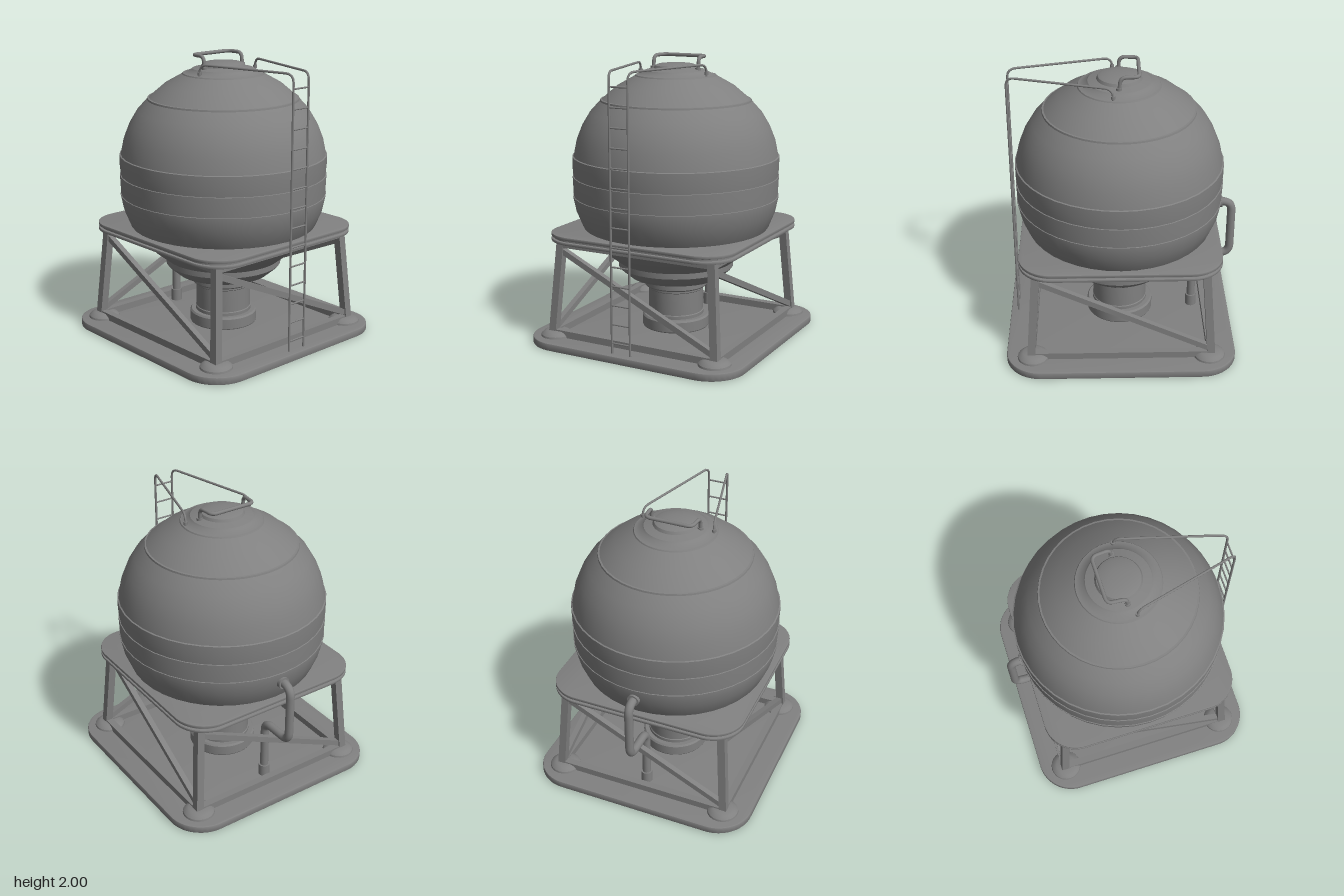
import * as THREE from 'three';
import { toCreasedNormals } from 'three/addons/utils/BufferGeometryUtils.js';

const steel = new THREE.MeshStandardMaterial({ color: 0x808080 });
steel.name = 'grey steel';
const V = (x, y, z) => new THREE.Vector3(x, y, z);

function add(parent, name, geometry) {
  const mesh = new THREE.Mesh(geometry, steel);
  mesh.name = name;
  parent.add(mesh);
  return mesh;
}

function lathe(parent, name, profile, segments = 40) {
  const points = profile.map(([r, y]) => new THREE.Vector2(r, y));
  return add(parent, name, toCreasedNormals(new THREE.LatheGeometry(points, segments), 0.45));
}

// Horizontal rounded-square plate
function slab(parent, name, half, radius, y0, height, bevel) {
  const s = new THREE.Shape(), h = half - bevel, r = radius - bevel, c = h - r;
  s.absarc(c, c, r, 0, Math.PI / 2);
  s.absarc(-c, c, r, Math.PI / 2, Math.PI);
  s.absarc(-c, -c, r, Math.PI, Math.PI * 1.5);
  s.absarc(c, -c, r, Math.PI * 1.5, Math.PI * 2);
  const g = new THREE.ExtrudeGeometry(s, {
    depth: height - 2 * bevel, bevelEnabled: bevel > 0, bevelSize: bevel,
    bevelThickness: bevel, bevelSegments: 2, curveSegments: 10,
  });
  g.rotateX(-Math.PI / 2).translate(0, y0 + bevel, 0);
  return add(parent, name, toCreasedNormals(g, 0.6));
}

// Square bar between two points, in the parent's own space
function bar(parent, name, a, b, width) {
  const g = new THREE.BoxGeometry(width, width, a.distanceTo(b));
  const mid = a.clone().add(b).multiplyScalar(0.5);
  g.applyMatrix4(new THREE.Matrix4().lookAt(b, a, V(0, 1, 0)).setPosition(mid));
  return add(parent, name, g);
}

// Round pipe through points, with rounded corners
function pipe(parent, name, pts, radius, bend, sides) {
  const path = new THREE.CurvePath();
  let from = pts[0];
  for (let i = 1; i < pts.length - 1; i++) {
    const p = pts[i];
    const a = p.clone().add(pts[i - 1].clone().sub(p).setLength(bend));
    const b = p.clone().add(pts[i + 1].clone().sub(p).setLength(bend));
    path.add(new THREE.LineCurve3(from, a));
    path.add(new THREE.QuadraticBezierCurve3(a, p, b));
    from = b;
  }
  path.add(new THREE.LineCurve3(from, pts[pts.length - 1]));
  return add(parent, name, new THREE.TubeGeometry(path, 120, radius, sides));
}

function cylinder(parent, name, r, h, x, y, z, sides = 20) {
  const mesh = add(parent, name, new THREE.CylinderGeometry(r, r, h, sides));
  mesh.position.set(x, y, z);
  return mesh;
}

export function createModel() {
  const model = new THREE.Group();
  model.name = 'sphericalTank';
  const body = new THREE.Group();
  body.name = 'tankAndStand';
  body.position.x = 0.01;
  model.add(body);

  // Base and the two-layer deck around the tank
  slab(body, 'basePlate', 0.81, 0.25, 0, 0.053, 0.008);
  slab(body, 'deckLower', 0.70, 0.23, 0.735, 0.02, 0.004);
  slab(body, 'deckCore', 0.68, 0.21, 0.75, 0.025, 0);
  slab(body, 'deckUpper', 0.70, 0.23, 0.77, 0.022, 0.004);

  // Tank shell with overlapping plate seams and a domed hatch
  lathe(body, 'tankShell', [
    [0.41, 0.54], [0.50, 0.61], [0.59, 0.70], [0.66, 0.80], [0.705, 0.91], [0.727, 1.015],
    [0.727, 1.02], [0.722, 1.022], [0.728, 1.155], [0.728, 1.16], [0.722, 1.162],
    [0.728, 1.23], [0.728, 1.30], [0.719, 1.304], [0.697, 1.41], [0.657, 1.51], [0.60, 1.605],
    [0.53, 1.682], [0.527, 1.694], [0.515, 1.696], [0.41, 1.785], [0.285, 1.855],
    [0.28, 1.863], [0.265, 1.865], [0.225, 1.883], [0.215, 1.894], [0.155, 1.908],
    [0.145, 1.927], [0.12, 1.936], [0.06, 1.943], [0, 1.945],
  ]);
  lathe(body, 'lowerBowl', [
    [0, 0.42], [0.29, 0.42], [0.33, 0.428], [0.40, 0.487], [0.412, 0.502], [0.412, 0.545], [0.38, 0.548],
  ]);
  lathe(body, 'centralColumn', [
    [0.235, 0.05], [0.24, 0.06], [0.24, 0.13], [0.23, 0.142], [0.2, 0.142], [0.2, 0.165],
    [0.195, 0.17], [0.195, 0.33], [0.2, 0.335], [0.2, 0.35], [0.218, 0.353], [0.225, 0.362],
    [0.225, 0.405], [0.215, 0.415], [0.18, 0.42],
  ]);

  // Four identical sides of the stand
  for (let i = 0; i < 4; i++) {
    const side = new THREE.Group();
    side.name = 'standSide' + (i + 1);
    side.rotation.y = i * Math.PI / 2;
    body.add(side);

    const foot = lathe(side, 'foot', [[0.112, 0.05], [0.108, 0.066], [0.09, 0.083], [0.07, 0.092], [0, 0.092]], 24);
    foot.position.set(0.62, 0, 0.62);

    // Leg leans inwards towards the deck
    const leg = new THREE.BoxGeometry(0.055, 0.65, 0.055);
    const p = leg.attributes.position;
    for (let k = 0; k < p.count; k++) {
      const shift = 0.608 - p.getY(k) * 0.075;
      p.setXYZ(k, p.getX(k) + shift, p.getY(k) + 0.405, p.getZ(k) + shift);
    }
    leg.computeVertexNormals();
    add(side, 'leg', leg);

    bar(side, 'topRail', V(-0.6, 0.713, 0.587), V(0.6, 0.713, 0.587), 0.046);
    bar(side, 'bottomRail', V(-0.63, 0.077, 0.63), V(0.63, 0.077, 0.63), 0.05);
    bar(side, 'diagonalBrace', V(-0.58, 0.665, 0.585), V(0.63, 0.115, 0.625), 0.04);
  }

  // Drain pipe with its end collars
  const drain = new THREE.Group();
  drain.name = 'drainPipe';
  model.add(drain);
  pipe(drain, 'pipe', [
    V(-0.64, 0.94, 0), V(-0.795, 0.94, 0), V(-0.795, 0.505, 0), V(-0.525, 0.505, 0), V(-0.525, 0.05, 0),
  ], 0.03, 0.075, 14);
  cylinder(drain, 'lowerCollar', 0.04, 0.09, -0.525, 0.095, 0);
  cylinder(drain, 'upperCollar', 0.042, 0.05, -0.7, 0.94, 0).rotation.z = Math.PI / 2;

  // Hatch handle
  const handle = new THREE.Group();
  handle.name = 'hatchHandle';
  model.add(handle);
  pipe(handle, 'handleBar', [
    V(0.015, 1.885, -0.175), V(0.005, 1.987, -0.175), V(-0.12, 1.987, -0.165),
    V(-0.12, 1.987, 0.165), V(0.005, 1.987, 0.175), V(0.015, 1.885, 0.175),
  ], 0.013, 0.04, 10);
  for (const z of [-0.175, 0.175]) cylinder(handle, 'handleSocket', 0.02, 0.03, 0.015, 1.9, z, 14);

  // Ladder with rails running over the tank to the hatch
  const ladder = new THREE.Group();
  ladder.name = 'ladder';
  model.add(ladder);
  for (const [zTop, z] of [[0.255, 0.08], [-0.26, -0.06]]) {
    pipe(ladder, 'rail', [
      V(0.055, 1.865, zTop), V(0.055, 1.945, zTop), V(0.765, 1.945, z), V(0.765, 0.05, z),
    ], 0.008, 0.06, 8);
    cylinder(ladder, 'railSocket', 0.015, 0.02, 0.055, 1.885, zTop, 12);
  }
  for (let i = 0; i < 14; i++) {
    cylinder(ladder, 'rung', 0.006, 0.14, 0.765, 0.125 + i * 0.1325, 0.01, 8).rotation.x = Math.PI / 2;
  }
  return model;
}
